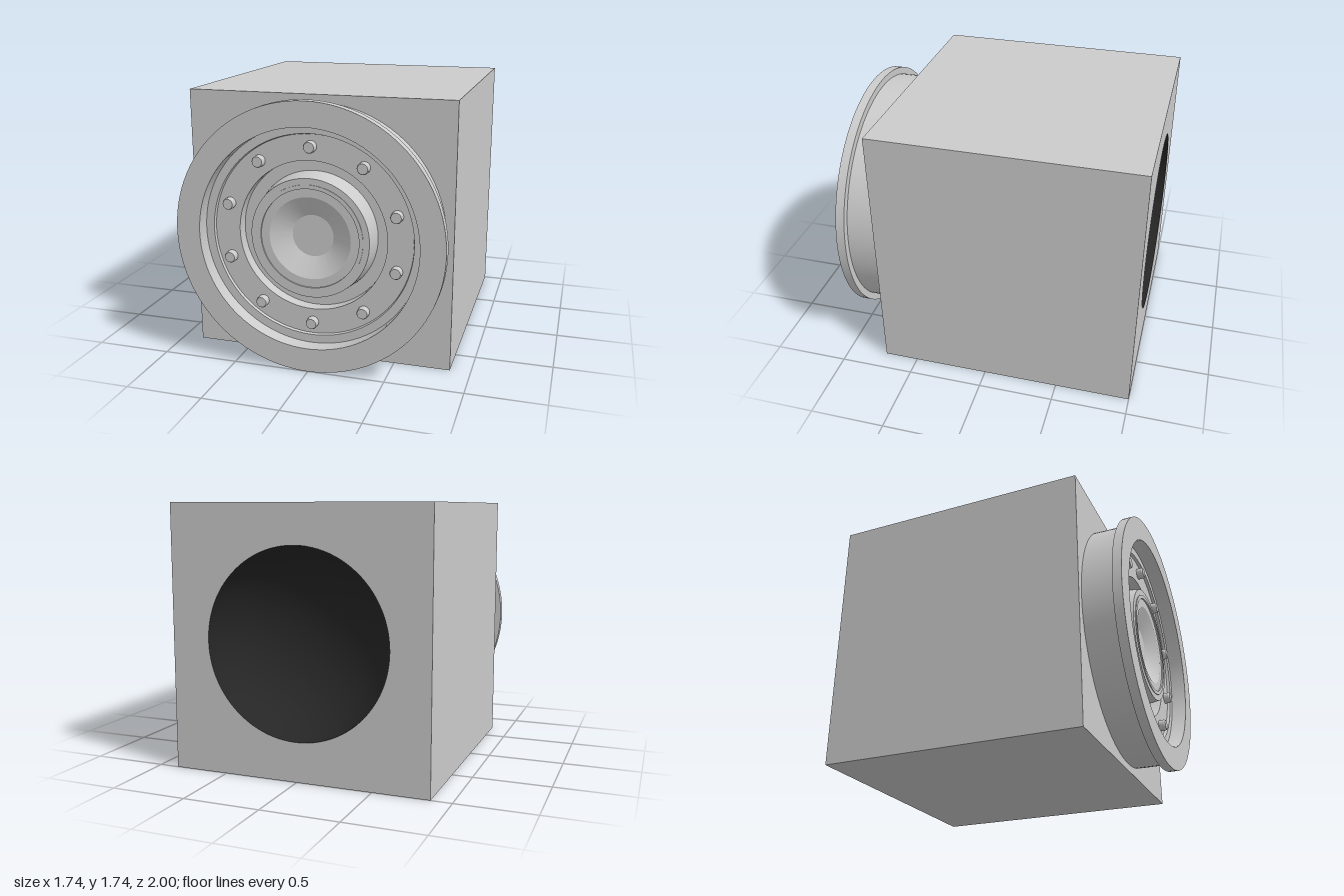
import * as THREE from 'three';
import { toCreasedNormals } from 'three/addons/utils/BufferGeometryUtils.js';

const CY = 0.8675, HALF = 0.8675;

// Revolve [radius, z] points around the z axis, keeping sharp edges
function revolve(name, points, material, segments = 96) {
  const profile = points.map(([r, z]) => new THREE.Vector2(r, z));
  const geometry = new THREE.LatheGeometry(profile, segments).rotateX(Math.PI / 2);
  const mesh = new THREE.Mesh(toCreasedNormals(geometry, 0.4), material);
  mesh.name = name;
  return mesh;
}

export function createModel() {
  const model = new THREE.Group();
  model.name = 'wheelBlock';
  const grey = new THREE.MeshStandardMaterial({ color: 0xcccccc });
  const dark = new THREE.MeshStandardMaterial({ color: 0x262626, side: THREE.DoubleSide });

  // Block with a round opening in the back
  const outline = new THREE.Shape([
    new THREE.Vector2(-HALF, -HALF), new THREE.Vector2(HALF, -HALF),
    new THREE.Vector2(HALF, HALF), new THREE.Vector2(-HALF, HALF),
  ]);
  const opening = new THREE.Path();
  opening.absarc(0, 0, 0.61, 0, Math.PI * 2, true);
  outline.holes.push(opening);
  const block = new THREE.Mesh(
    new THREE.ExtrudeGeometry(outline, { depth: 1.73, bevelEnabled: false, curveSegments: 48 }), grey);
  block.name = 'block';
  block.position.set(0, CY, -1);
  model.add(block);

  // Dark rounded hollow behind the opening
  const bowl = [];
  for (let i = 0; i <= 16; i++) {
    const a = (i / 16) * Math.PI / 2;
    bowl.push([0.61 * Math.sin(a), -1 + 0.5 * Math.cos(a)]);
  }
  const hollow = revolve('hollow', bowl, dark);
  hollow.position.y = CY;
  model.add(hollow);

  const wheel = new THREE.Group();
  wheel.name = 'wheel';
  wheel.position.y = CY;
  model.add(wheel);

  // Barrel, front flange and recessed disc
  wheel.add(revolve('rim', [
    [0.82, 0.73], [0.82, 0.94], [0.8675, 0.94], [0.8675, 1],
    [0.71, 1], [0.71, 0.9], [0.655, 0.9], [0.65, 0.88],
    [0.485, 0.88], [0.485, 0.8], [0.38, 0.8],
  ], grey));

  // Hub with a dished centre
  wheel.add(revolve('hub', [
    [0.405, 0.8], [0.385, 0.93], [0.345, 0.93], [0.345, 0.935], [0.32, 0.935],
    [0.32, 0.925], [0.265, 0.925], [0.135, 0.86], [0, 0.86],
  ], grey));

  // Ring of ten wheel bolts
  for (let i = 0; i < 10; i++) {
    const a = Math.PI / 2 + (i / 10) * Math.PI * 2;
    const bolt = revolve('bolt' + (i + 1),
      [[0.038, 0.87], [0.038, 0.915], [0.033, 0.925], [0, 0.925]], grey, 20);
    bolt.position.set(0.573 * Math.cos(a), 0.573 * Math.sin(a), 0);
    wheel.add(bolt);
  }
  return model;
}
